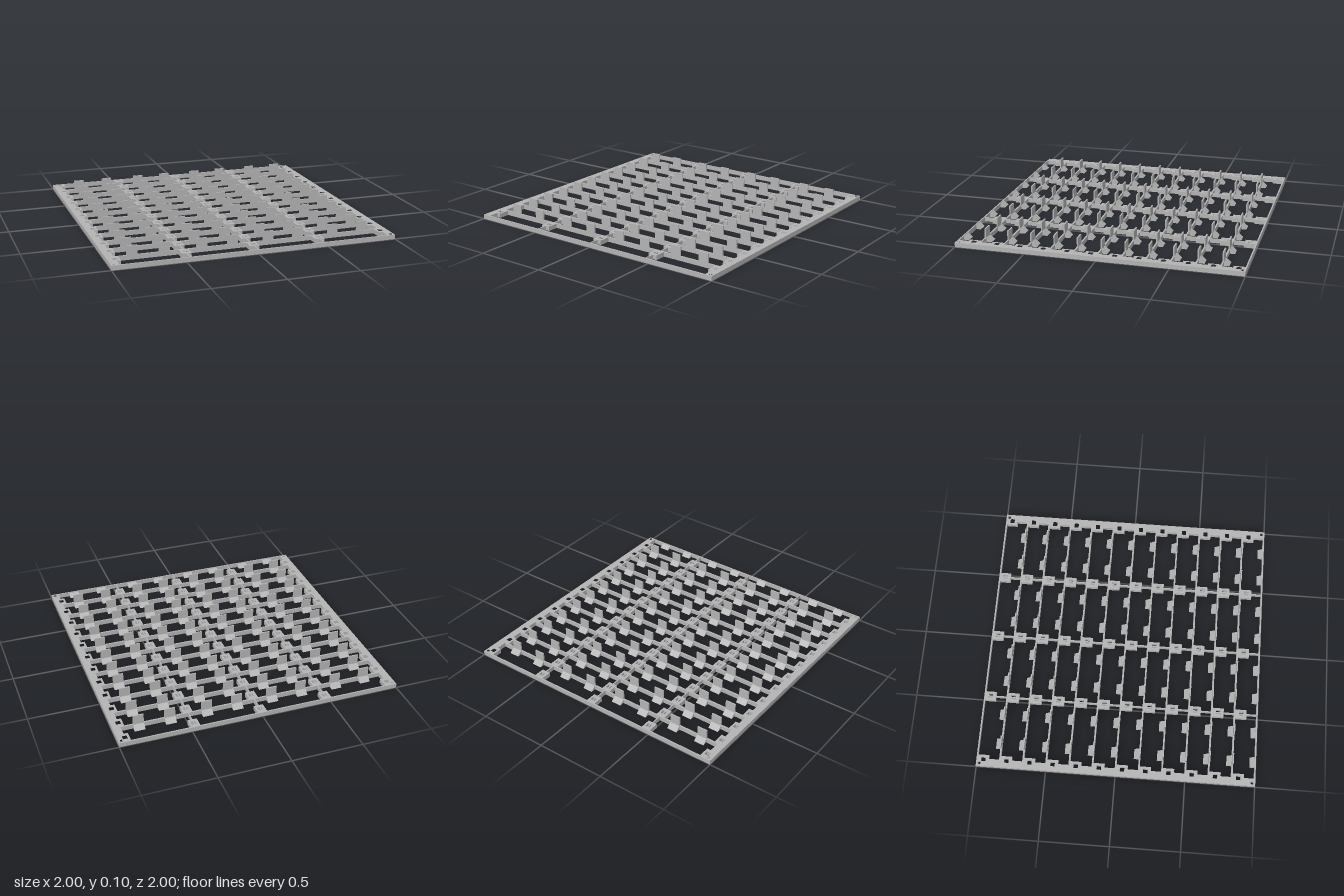
import * as THREE from 'three';

const H = 0.032;          // frame height
const PITCH = 0.1663;     // spacing of the cross bars
const ROWS = 12;
const BAR = 0.012;        // cross bar thickness
const rowZ = (i) => (i - 6) * PITCH;   // row 0 is the back wall, row 12 the front wall
const TAB_X = [0.127, 0.344, 0.603, 0.822].flatMap((x) => [-x, x]);
const TAB_W = 0.075;

function squareHole(x, z, r) {
  const p = new THREE.Path();
  p.moveTo(x - r, z - r);
  p.lineTo(x - r, z + r);
  p.lineTo(x + r, z + r);
  p.lineTo(x + r, z - r);
  p.closePath();
  return p;
}

// Extrudes a plan drawn in x and z up to the frame height
function slab(shape) {
  const g = new THREE.ExtrudeGeometry(shape, { depth: H, bevelEnabled: false, curveSegments: 8 });
  g.rotateX(Math.PI / 2);
  g.translate(0, H, 0);
  return g;
}

// Side rail with a toothed inner edge and mounting holes
function railGeometry(s) {
  const pts = [[1, -1]];
  for (let i = 0; i < ROWS; i++) {
    const a = i === 0 ? -1 : rowZ(i), b = rowZ(i) + 0.087;
    pts.push([0.917, a], [0.917, b], [0.945, b]);
    if (i < ROWS - 1) pts.push([0.945, rowZ(i + 1)]);
  }
  pts.push([0.945, 1], [1, 1]);
  const shape = new THREE.Shape(pts.map(([x, z]) => new THREE.Vector2(x * s, z)));
  for (let i = 0; i < ROWS; i++) shape.holes.push(squareHole(0.948 * s, rowZ(i) + 0.047, 0.016));
  for (const z of [-0.977, 0.977]) {
    const p = new THREE.Path();
    p.absarc(0.977 * s, z, 0.011, 0, Math.PI * 2, true);
    shape.holes.push(p);
  }
  return slab(shape);
}

// Small block with a square hole, fixed in front of each bar
function lugGeometry() {
  const w = 0.033, d = 0.087;
  const shape = new THREE.Shape();
  shape.moveTo(-w, 0);
  shape.lineTo(w, 0);
  shape.lineTo(w, d);
  shape.lineTo(-w, d);
  shape.closePath();
  shape.holes.push(squareHole(0.003, 0.047, 0.016));
  return slab(shape);
}

// Sloping brace that falls away behind a bar
function braceGeometry() {
  const d = 0.037;
  const shape = new THREE.Shape();
  shape.moveTo(0, 0);
  shape.lineTo(d, 0);
  shape.lineTo(0, H - 0.001);
  shape.closePath();
  const g = new THREE.ExtrudeGeometry(shape, { depth: TAB_W, bevelEnabled: false });
  g.rotateY(Math.PI / 2);
  g.translate(-TAB_W / 2, 0, 0);
  return g;
}

export function createModel() {
  const model = new THREE.Group();
  model.name = 'slottedTray';
  const grey = new THREE.MeshStandardMaterial({ color: 0xb4b4b4 });
  grey.name = 'lightGrey';

  const add = (name, geometry, x = 0, y = 0, z = 0) => {
    const m = new THREE.Mesh(geometry, grey);
    m.name = name;
    m.position.set(x, y, z);
    model.add(m);
  };

  // Side rails
  add('leftRail', railGeometry(1));
  add('rightRail', railGeometry(-1));

  // Front and back walls
  const wall = new THREE.BoxGeometry(1.89, H, 0.01);
  add('frontWall', wall, 0, H / 2, 0.995);
  add('backWall', wall, 0, H / 2, -0.995);

  // Lengthwise dividers with their lugs
  const divider = new THREE.BoxGeometry(0.008, H - 0.001, 1.98);
  const lug = lugGeometry();
  for (const x of [-0.474, 0, 0.474]) {
    add('divider', divider, x, H / 2, 0);
    for (let i = 0; i < ROWS; i++) add('lug', lug, x, 0, i === 0 ? -0.999 : rowZ(i));
  }

  // Cross bars, upright tabs and sloping braces
  const bar = new THREE.BoxGeometry(1.89, H, BAR);
  const tab = new THREE.BoxGeometry(TAB_W, 0.098 - H, 0.01);
  const brace = braceGeometry();
  for (let i = 1; i <= ROWS; i++) {
    const z = rowZ(i), last = i === ROWS;
    if (!last) add('crossBar', bar, 0, H / 2, z);
    for (const x of TAB_X) {
      add('brace', brace, x, 0, last ? 0.993 : z - BAR / 2 + 0.001);
      if (!last) add('tab', tab, x, (0.098 + H) / 2, z);
    }
  }
  return model;
}
